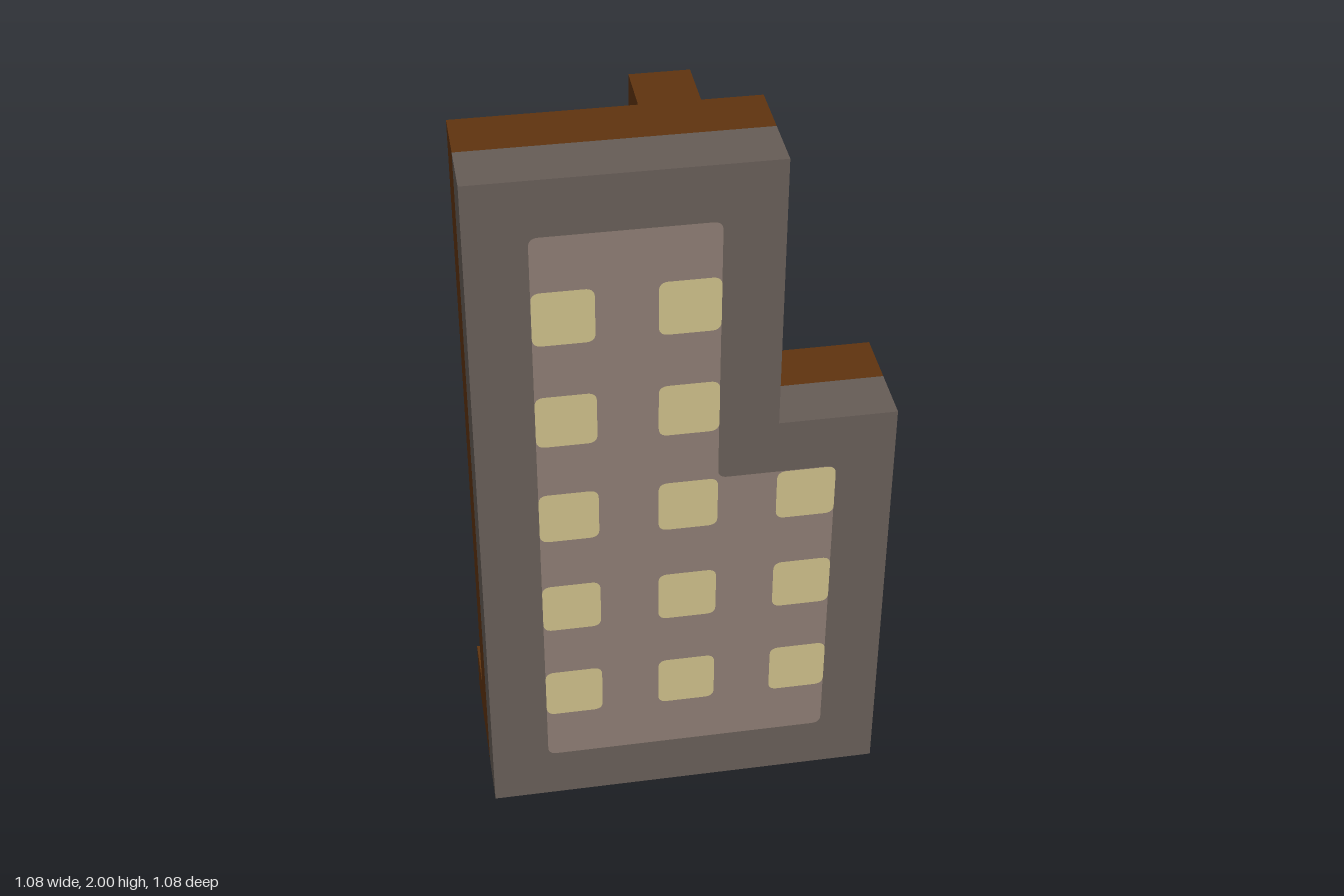
import * as THREE from 'three';

const U = 2 / 13; // one grid unit: the model is 13 units tall

const material = (name, color) => {
  const m = new THREE.MeshStandardMaterial({ color });
  m.name = name;
  return m;
};

// Closed shape from unit corners, each corner rounded by r units
function roundedShape(corners, r = 0) {
  const pts = corners.map(([x, y]) => new THREE.Vector2(x * U, y * U));
  const shape = new THREE.Shape();
  pts.forEach((p, i) => {
    const toward = (q) => p.clone().add(q.clone().sub(p).setLength(r * U));
    const a = r ? toward(pts[(i + pts.length - 1) % pts.length]) : p;
    if (i === 0) shape.moveTo(a.x, a.y);
    else shape.lineTo(a.x, a.y);
    if (r) {
      const b = toward(pts[(i + 1) % pts.length]);
      shape.quadraticCurveTo(p.x, p.y, b.x, b.y);
    }
  });
  shape.closePath();
  return shape;
}

export function createModel() {
  const wood = material('brown wood', 0x60340f);
  const wall = material('dark grey facade', 0x665c56);
  const panel = material('light grey facade', 0x8a7a71);
  const glass = material('pale yellow windows', 0xc9bb86);

  const model = new THREE.Group();
  model.name = 'buildingFlat';

  const add = (name, geometry, mat, x = 0, y = 0, z = 0) => {
    const mesh = new THREE.Mesh(geometry, mat);
    mesh.name = name;
    mesh.position.set(x, y, z);
    model.add(mesh);
  };

  // Stepped boards: wooden backing and painted front
  const outline = roundedShape([[-3.5, 0], [3.5, 0], [3.5, 8], [1.5, 8], [1.5, 13], [-3.5, 13]]);
  const board = () => new THREE.ExtrudeGeometry(outline, { depth: U, bevelEnabled: false });
  add('backingBoard', board(), wood, 0, 0, 1.5 * U);
  add('facade', board(), wall, 0, 0, 2.5 * U);

  // Painted inner panel with slightly rounded corners
  const inner = roundedShape([[-2.5, 1], [2.5, 1], [2.5, 7], [0.5, 7], [0.5, 12], [-2.5, 12]], 0.16);
  add('facadePanel', new THREE.ShapeGeometry(inner), panel, 0, 0, 3.5 * U + 0.002);

  // Windows: three columns, the right one only reaching the lower roof
  const pane = new THREE.ShapeGeometry(
    roundedShape([[-0.5, -0.5], [0.5, -0.5], [0.5, 0.5], [-0.5, 0.5]], 0.16));
  [5, 5, 3].forEach((rows, col) => {
    for (let row = 0; row < rows; row++) {
      add('window', pane, glass, (col - 1) * 2 * U, (2.5 + row * 2) * U, 3.5 * U + 0.004);
    }
  });

  // Rear support: upright post, cross rail in two halves, and foot
  const bar = (name, w, h, d, x, z) =>
    add(name, new THREE.BoxGeometry(w * U, h * U, d * U), wood, x * U, h * U / 2, z * U);
  bar('supportPost', 1, 13, 1, 0, 1);
  for (const side of [-1, 1]) bar('crossRail', 3, 1, 1, side * 2, 1);
  bar('supportFoot', 1, 1, 4, 0, -1.5);

  return model;
}
